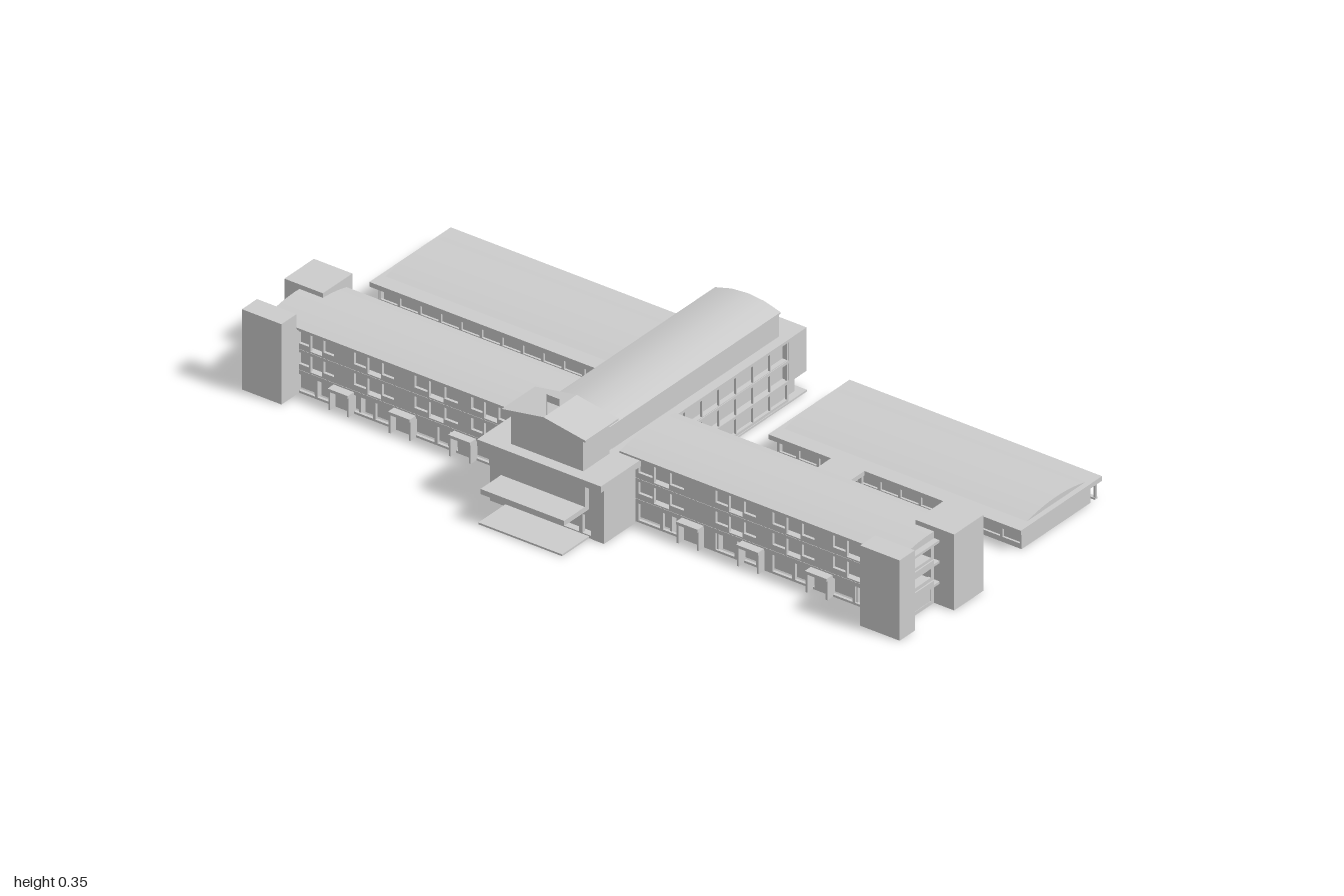
import * as THREE from 'three';
import { toCreasedNormals } from 'three/addons/utils/BufferGeometryUtils.js';

const grey = new THREE.MeshStandardMaterial({ color: 0xcccccc });

function add(parent, name, geo) {
  const mesh = new THREE.Mesh(geo, grey);
  mesh.name = name;
  parent.add(mesh);
  return mesh;
}

// Box given by its limits on each axis
function box(parent, name, x0, x1, y0, y1, z0, z1) {
  const geo = new THREE.BoxGeometry(x1 - x0, y1 - y0, z1 - z0);
  geo.translate((x0 + x1) / 2, (y0 + y1) / 2, (z0 + z1) / 2);
  return add(parent, name, geo);
}

// Wall in the xy plane with rectangular holes [u0, u1, y0, y1]
function wallGeo(u0, u1, y0, y1, t, holes) {
  const path = (P, a, b, c, d) => {
    const p = new P();
    p.moveTo(a, c); p.lineTo(b, c); p.lineTo(b, d); p.lineTo(a, d); p.closePath();
    return p;
  };
  const shape = path(THREE.Shape, u0, u1, y0, y1);
  shape.holes = holes.map(h => path(THREE.Path, ...h));
  return new THREE.ExtrudeGeometry(shape, { depth: t, bevelEnabled: false });
}
function wallX(parent, name, x0, x1, y0, y1, z, t, holes) {
  add(parent, name, wallGeo(x0, x1, y0, y1, t, holes)).position.z = z;
}
// Wall running along z, its holes given in z
function wallZ(parent, name, z0, z1, y0, y1, x, t, holes) {
  const geo = wallGeo(-z1, -z0, y0, y1, t, holes.map(([a, b, c, d]) => [-b, -a, c, d]));
  add(parent, name, geo.rotateY(Math.PI / 2)).position.x = x;
}

// Even row of n openings between a and b
function row(a, b, n, gap, y0, y1) {
  const step = (b - a) / n;
  return Array.from({ length: n }, (_, i) => [a + i * step + gap / 2, a + (i + 1) * step - gap / 2, y0, y1]);
}

// Shallow symmetric roof, its section running from a to b; two segments make a gable
function archRoof(parent, name, a, b, y, rise, from, to, alongX, segs = 12) {
  const mid = (a + b) / 2, half = (b - a) / 2;
  const shape = new THREE.Shape();
  shape.moveTo(-half, y);
  shape.lineTo(half, y);
  for (let i = 1; i < segs; i++) {
    const t = i / segs;
    shape.lineTo(half - 2 * half * t, y + rise * 4 * t * (1 - t));
  }
  shape.closePath();
  const geo = new THREE.ExtrudeGeometry(shape, { depth: to - from, bevelEnabled: false });
  geo.translate(0, 0, from);
  if (alongX) geo.rotateY(Math.PI / 2);
  const roof = add(parent, name, toCreasedNormals(geo, 0.25));
  roof.position.set(alongX ? 0 : mid, 0, alongX ? mid : 0);
}

function buildWing(x0, x1, groups, porches) {
  const g = new THREE.Group();
  g.name = 'wing';
  // Front wall: each bay has two short windows beside a tall one, and two ground floor openings
  const holes = [];
  for (const [a, b] of groups) {
    const w = (b - a) / 3;
    for (const y of [0.068, 0.125]) {
      holes.push([a, a + w - 0.004, y + 0.012, y + 0.045], [a + w, b - w, y, y + 0.045],
        [b - w + 0.004, b, y + 0.012, y + 0.045]);
    }
    holes.push([a, a + w * 1.4, 0.006, 0.052], [a + w * 1.6, b, 0.006, 0.052]);
  }
  wallX(g, 'frontWall', x0, x1, 0, 0.18, 0.247, 0.008, holes);
  // Glazed rear wall
  wallX(g, 'rearWall', x0, x1, 0, 0.18, 0.05, 0.008, [[0.012, 0.052], [0.066, 0.11], [0.122, 0.17]]
    .flatMap(([y0, y1]) => row(x0, x1, 12, 0.006, y0, y1)));
  box(g, 'frontGlazing', x0, x1, 0, 0.18, 0.228, 0.232);
  box(g, 'rearGlazing', x0, x1, 0, 0.18, 0.064, 0.068);
  box(g, 'corridorWall', x0, x1, 0, 0.18, 0.12, 0.125);
  for (const y of [0.056, 0.113, 0.172]) box(g, 'floorSlab', x0, x1, y, y + 0.008, 0.045, 0.256);
  for (let i = 0; i <= 6; i++) {
    const x = x0 + 0.004 + (x1 - x0 - 0.008) * i / 6;
    box(g, 'partition', x - 0.003, x + 0.003, 0, 0.06, 0.12, 0.25);
  }
  for (const [a, b] of porches) {
    box(g, 'porchRoof', a, b, 0.052, 0.06, 0.25, 0.28);
    for (const x of [a, b - 0.005]) box(g, 'porchSide', x, x + 0.005, 0, 0.052, 0.25, 0.277);
  }
  // Roof
  box(g, 'eaves', x0, x1, 0.178, 0.184, 0.04, 0.264);
  archRoof(g, 'wingRoof', 0.042, 0.262, 0.184, 0.014, x0, x1, true);
  return g;
}

function buildWingEnd(s) {
  const g = new THREE.Group();
  g.name = s > 0 ? 'leftEnd' : 'rightEnd';
  const part = (name, a, b, ...rest) => box(g, name, s > 0 ? a : -b, s > 0 ? b : -a, ...rest);
  wallZ(g, 'endWall', 0.05, 0.255, 0, 0.18, s > 0 ? 0.932 : -0.94, 0.008,
    [[0.145, 0.24, 0.01, 0.055], [0.145, 0.24, 0.075, 0.112], [0.145, 0.24, 0.13, 0.17]]);
  for (const y of [0.058, 0.115, 0.172]) part('balcony', 0.925, 0.956, y, y + 0.007, 0.13, 0.265);
  for (const y of [0.065, 0.122]) part('balustrade', 0.952, 0.956, y, y + 0.012, 0.155, 0.235);
  part('frontTower', 0.864, 0.982, 0, 0.222, 0.265, 0.325);
  part('towerLink', 0.864, 0.92, 0, 0.18, 0.25, 0.268);
  part('rearTower', 0.885, 1, 0, 0.21, 0.016, 0.133);
  for (const x of [0.912, 0.95]) part('smallBalcony', x, x + 0.026, 0.05, 0.062, -0.006, 0.018);
  return g;
}

function buildPavilion(x0, x1) {
  const g = new THREE.Group();
  g.name = 'pavilion';
  const a = x0 + 0.012, b = x1 - 0.012;
  box(g, 'floor', a, b, 0, 0.005, -0.462, -0.194);
  box(g, 'kerb', a, b, 0, 0.005, -0.494, -0.484);
  // Long walls with strip windows, closed ends
  for (const z of [-0.2, -0.468]) {
    wallX(g, 'longWall', a, b, 0, 0.052, z, 0.006, row(a, b, 12, 0.008, 0.014, 0.045));
  }
  box(g, 'innerGlazing', a, b, 0, 0.052, -0.212, -0.208);
  box(g, 'outerGlazing', a, b, 0, 0.052, -0.456, -0.452);
  for (const x of [a, b - 0.006]) box(g, 'endWall', x, x + 0.006, 0, 0.052, -0.465, -0.195);
  // Rear colonnade
  for (let i = 0; i <= 12; i++) {
    const x = a + (b - a - 0.006) * i / 12;
    box(g, 'column', x, x + 0.006, 0, 0.052, -0.492, -0.486);
  }
  box(g, 'roofSlab', x0, x1, 0.051, 0.064, -0.497, -0.175);
  archRoof(g, 'pavilionRoof', -0.455, -0.215, 0.063, 0.015, x0 + 0.015, x1 - 0.015, true);
  return g;
}

function buildHall() {
  const g = new THREE.Group();
  g.name = 'centralHall';
  box(g, 'basePlate', -0.15, 0.1, 0, 0.005, -0.478, 0.492);
  // Lower storeys with rows of side windows
  const holes = [[0.012, 0.054], [0.064, 0.11], [0.122, 0.17]]
    .flatMap(([y0, y1]) => row(-0.404, 0.27, 10, 0.004, y0, y1));
  for (const x of [-0.148, 0.092]) wallZ(g, 'sideWall', -0.408, 0.275, 0, 0.178, x, 0.006, holes);
  box(g, 'hallCore', -0.132, 0.082, 0.005, 0.178, -0.41, 0.28);
  for (const y of [0.056, 0.112, 0.17]) box(g, 'floorSlab', -0.15, 0.1, y, y + 0.008, -0.41, 0.27);
  // Rear block, its back wall pierced by a strip of windows
  box(g, 'rearBlock', -0.15, 0.1, 0.058, 0.178, -0.468, -0.405);
  box(g, 'rearBase', -0.13, 0.08, 0.005, 0.06, -0.455, -0.4);
  wallX(g, 'rearWall', -0.15, 0.1, 0.058, 0.178, -0.477, 0.009, row(-0.11, 0.06, 5, 0.01, 0.125, 0.155));
  // Upper storey and roof
  box(g, 'upperStorey', -0.118, 0.073, 0.178, 0.242, -0.404, 0.285);
  box(g, 'hallEaves', -0.12, 0.076, 0.241, 0.245, -0.406, 0.285);
  archRoof(g, 'hallRoof', -0.12, 0.076, 0.245, 0.018, -0.406, 0.285, false, 4);
  return g;
}

function buildEntrance() {
  const g = new THREE.Group();
  g.name = 'entrance';
  wallX(g, 'entranceFront', -0.195, 0.145, 0, 0.162, 0.375, 0.01,
    [[-0.095, 0.07, 0.008, 0.05], [-0.155, -0.105, 0.008, 0.06], [0.08, 0.106, 0.008, 0.06]]);
  box(g, 'entranceBlock', -0.195, 0.145, 0, 0.162, 0.26, 0.362);
  for (const x of [-0.195, 0.11]) box(g, 'pier', x, x + 0.035, 0, 0.162, 0.36, 0.386);
  box(g, 'frontBay', -0.155, 0.1, 0.08, 0.155, 0.38, 0.402);
  box(g, 'flatRoof', -0.21, 0.16, 0.161, 0.179, 0.26, 0.418);
  box(g, 'canopy', -0.15, 0.1, 0.08, 0.094, 0.4, 0.484);
  // Tower with a low gabled roof
  box(g, 'tower', -0.133, 0.083, 0.179, 0.273, 0.282, 0.386);
  box(g, 'towerEaves', -0.15, 0.1, 0.271, 0.276, 0.268, 0.4);
  archRoof(g, 'towerRoof', -0.15, 0.1, 0.276, 0.021, 0.268, 0.4, false, 2);
  // Flag
  const pole = add(g, 'flagpole', new THREE.CylinderGeometry(0.001, 0.001, 0.07, 6));
  pole.position.set(-0.025, 0.32, 0.386);
  box(g, 'flag', -0.025, 0.012, 0.334, 0.354, 0.3855, 0.3865);
  return g;
}

// Low passage joining the hall, the wing and one pavilion around a small court
function buildPassage() {
  const g = new THREE.Group();
  g.name = 'passage';
  box(g, 'courtFloor', 0.1, 0.41, 0, 0.005, -0.178, 0);
  box(g, 'passageFloor', 0.405, 0.495, 0, 0.005, -0.194, 0.04);
  box(g, 'passageRoof', 0.1, 0.41, 0.052, 0.064, -0.055, 0);
  box(g, 'passageRoof', 0.4, 0.5, 0.052, 0.064, -0.178, 0.045);
  wallZ(g, 'passageWall', -0.178, 0.04, 0, 0.053, 0.49, 0.005, row(-0.175, 0.035, 5, 0.01, 0.012, 0.048));
  wallZ(g, 'passageWall', -0.178, -0.05, 0, 0.053, 0.405, 0.005, row(-0.175, -0.06, 3, 0.01, 0.012, 0.048));
  for (const z of [-0.05, -0.01]) {
    wallX(g, 'passageWall', 0.1, 0.405, 0, 0.053, z, 0.005, row(0.105, 0.4, 6, 0.01, 0.012, 0.048));
  }
  return g;
}

export function createModel() {
  const model = new THREE.Group();
  model.name = 'building';
  model.add(
    buildWing(0.1, 0.94, [[0.15, 0.285], [0.38, 0.5], [0.55, 0.675], [0.73, 0.855]],
      [[0.28, 0.345], [0.46, 0.525], [0.665, 0.73]]),
    buildWing(-0.955, -0.15, [[-0.865, -0.76], [-0.7, -0.58], [-0.52, -0.39], [-0.35, -0.235]],
      [[-0.76, -0.7], [-0.58, -0.515], [-0.4, -0.335]]),
    buildWingEnd(1), buildWingEnd(-1),
    buildPavilion(0.213, 0.967), buildPavilion(-0.978, -0.22),
    buildHall(), buildEntrance(), buildPassage());
  return model;
}
